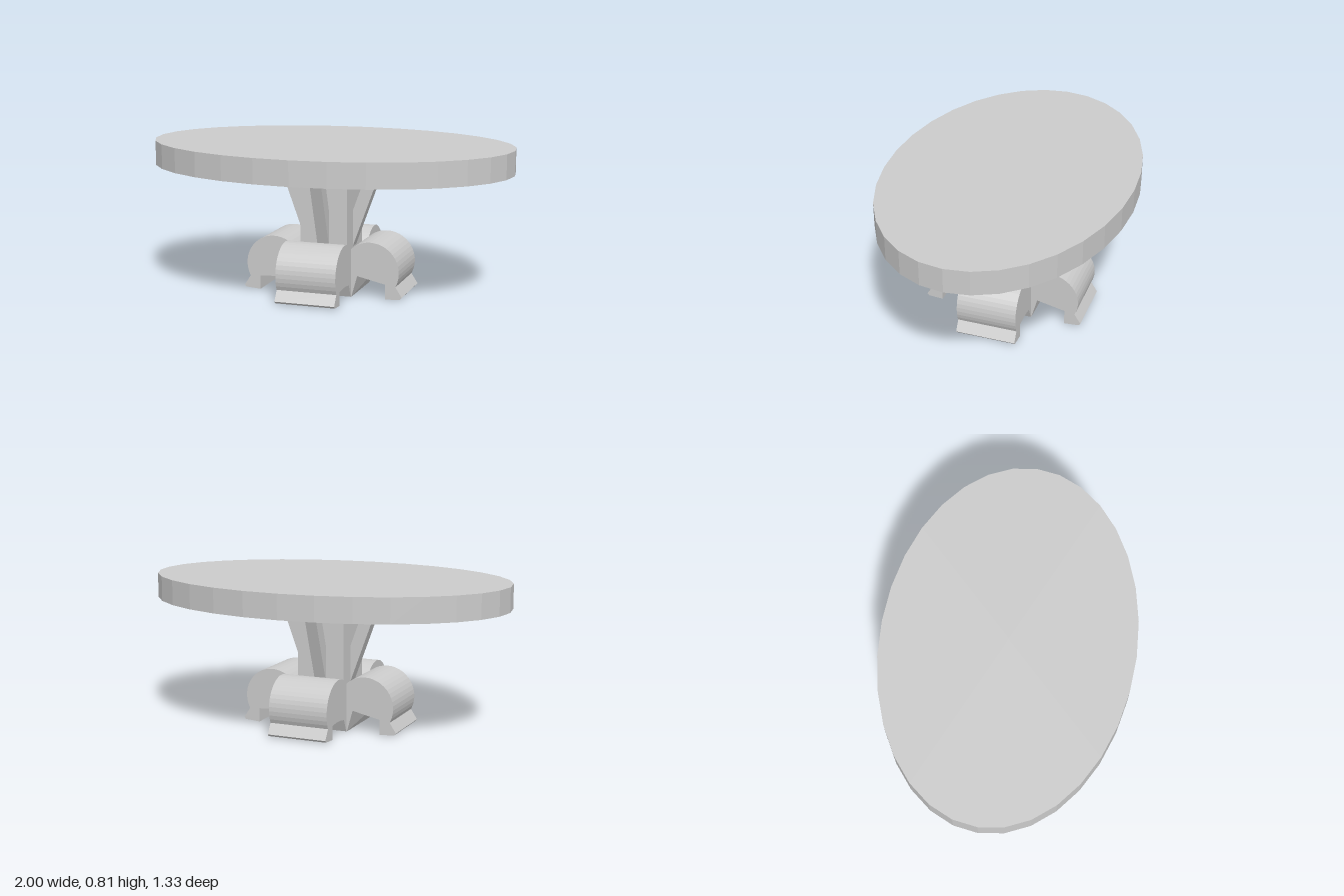
import * as THREE from 'three';

const mat = new THREE.MeshStandardMaterial({ color: 0xcccccc, flatShading: true });

function add(parent, name, geometry) {
  const mesh = new THREE.Mesh(geometry, mat);
  mesh.name = name;
  parent.add(mesh);
  return mesh;
}

// Extrude an x-y outline along z, centred on z = 0
function slab(points, width) {
  const shape = new THREE.Shape(points.map(([x, y]) => new THREE.Vector2(x, y)));
  const g = new THREE.ExtrudeGeometry(shape, { depth: width, bevelEnabled: false });
  return g.translate(0, 0, -width / 2);
}

// Scroll-shaped foot: round back, flared outer lip, inner lip and arched underside
function footGeometry() {
  const pts = [[0.355, 0.078], [0.355, 0.003], [0.437, 0.009], [0.447, 0.02]];
  const steps = 28;
  for (let i = 0; i <= steps; i++) {
    const a = THREE.MathUtils.degToRad(-28 + (236 * i) / steps);
    pts.push([0.272 + 0.158 * Math.cos(a), 0.149 + 0.158 * Math.sin(a)]);
  }
  pts.push([0.1, 0.02], [0.108, 0.008], [0.168, 0.003], [0.2, 0.073], [0.24, 0.08], [0.3, 0.082]);
  const g = slab(pts, 0.33);

  // The arch rises toward one end of the foot
  const p = g.attributes.position;
  for (let i = 0; i < p.count; i++) {
    const x = p.getX(i), y = p.getY(i);
    if (p.getZ(i) > 0 && y > 0.07 && y < 0.0825 && x > 0.19 && x < 0.36) {
      p.setY(i, 0.085 + (0.355 - x) * 0.22);
    }
  }
  g.computeVertexNormals();
  return g;
}

export function createModel() {
  const root = new THREE.Group();
  root.name = 'pedestalTable';

  // Oval top
  const top = new THREE.CylinderGeometry(1, 1, 0.133, 32);
  top.scale(1, 1, 0.665);
  add(root, 'tableTop', top).position.y = 0.742;

  // Square column
  add(root, 'column', new THREE.BoxGeometry(0.266, 0.635, 0.266)).position.y = 0.3675;

  // Four feet, each with a leaning brace above it
  const foot = footGeometry();
  const brace = slab([[0.1, 0.16], [0.028, 0.16], [0.218, 0.68], [0.29, 0.68]], 0.064);
  for (let i = 0; i < 4; i++) {
    const leg = new THREE.Group();
    leg.name = 'leg' + (i + 1);
    leg.rotation.y = (i * Math.PI) / 2;
    add(leg, 'foot', foot);
    add(leg, 'brace', brace);
    root.add(leg);
  }
  return root;
}
